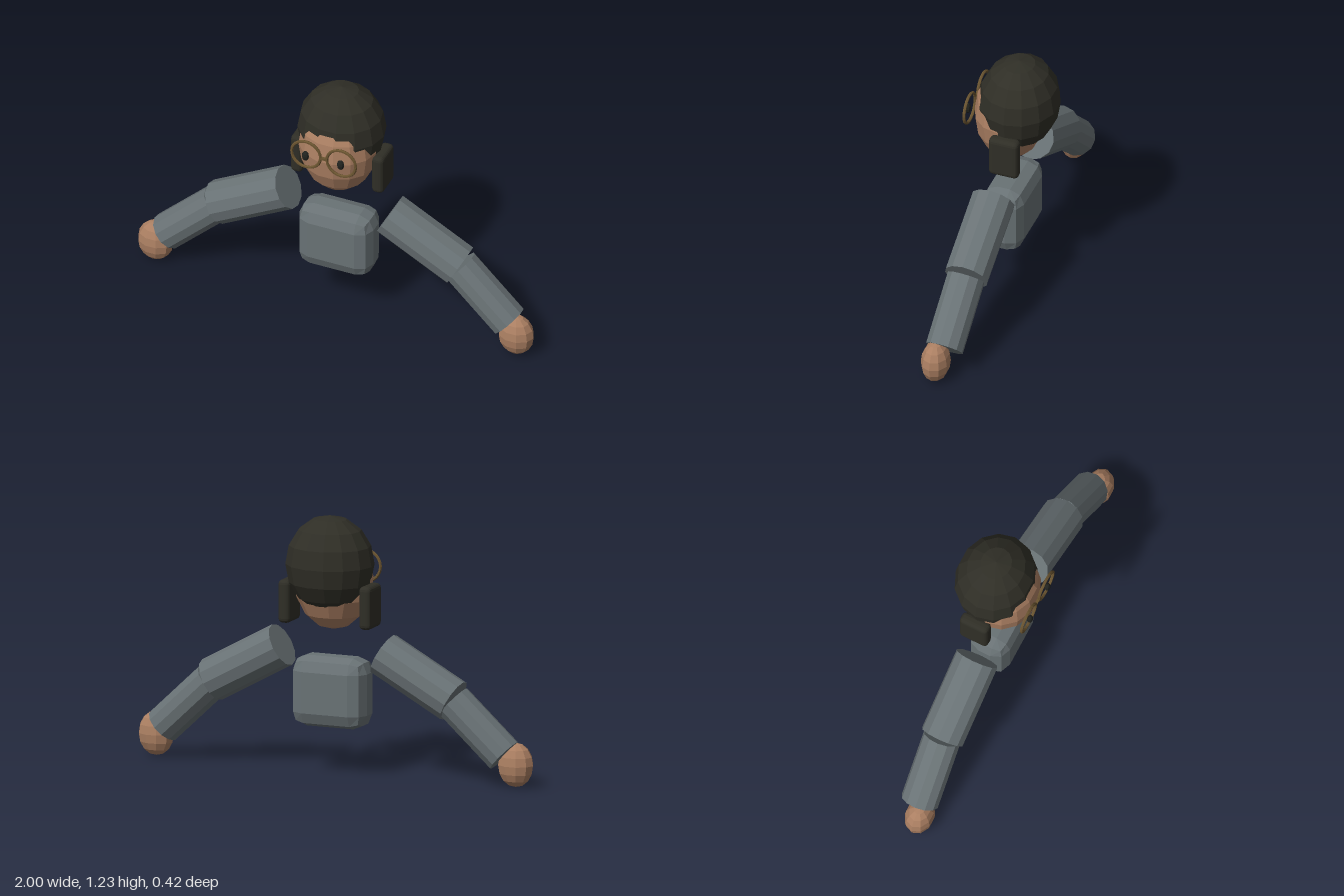
import * as THREE from 'three';
import { RoundedBoxGeometry } from 'three/addons/geometries/RoundedBoxGeometry.js';

const material = (name, color, flatShading = true) => {
  const m = new THREE.MeshStandardMaterial({ color, flatShading });
  m.name = name;
  return m;
};

export function createModel() {
  const model = new THREE.Group();
  model.name = 'figure';

  const skin = material('skin', 0xab7f62);
  const hairColor = material('dark hair', 0x2f2e26);
  const cloth = material('grey cloth', 0x697275);
  const brass = material('glasses brass', 0x6a5430);
  const eyeColor = material('eye black', 0x22231f);

  const add = (name, geometry, mat, x, y, z) => {
    const mesh = new THREE.Mesh(geometry, mat);
    mesh.name = name;
    mesh.position.set(x, y, z);
    model.add(mesh);
    return mesh;
  };
  const ellipsoid = (rx, ry, rz, w = 14, h = 8) =>
    new THREE.SphereGeometry(1, w, h).scale(rx, ry, rz);

  // Straight limb segment between two points
  const limb = (name, a, b, radius) => {
    const from = new THREE.Vector3(...a), to = new THREE.Vector3(...b);
    const dir = to.clone().sub(from);
    const mid = from.clone().add(to).multiplyScalar(0.5);
    const mesh = add(name, new THREE.CylinderGeometry(radius, radius, dir.length(), 12), cloth, mid.x, mid.y, mid.z);
    mesh.quaternion.setFromUnitVectors(new THREE.Vector3(0, 1, 0), dir.normalize());
  };

  // Head, with the hair as a larger overlapping ellipsoid
  add('head', ellipsoid(0.19, 0.245, 0.17), skin, 0, 0.925, 0.018);
  add('hair', ellipsoid(0.211, 0.23, 0.191), hairColor, 0, 0.997, -0.023);

  // Torso
  add('torso', new RoundedBoxGeometry(0.374, 0.336, 0.2, 1, 0.07), cloth, 0, 0.387, 0.01);

  // Bridge of the glasses
  add('glassesBridge', new THREE.BoxGeometry(0.04, 0.012, 0.012), brass, 0, 0.955, 0.192);

  // Mirrored parts
  for (const [side, s] of [['left', 1], ['right', -1]]) {
    add(side + 'SideHair', new RoundedBoxGeometry(0.06, 0.205, 0.147, 2, 0.022), hairColor, s * 0.205, 0.812, -0.026);
    add(side + 'GlassesRim', new THREE.TorusGeometry(0.073, 0.0075, 6, 24), brass, s * 0.089, 0.955, 0.192);
    add(side + 'Eye', ellipsoid(0.018, 0.026, 0.014, 8, 6), eyeColor, s * 0.089, 0.952, 0.2);
    limb(side + 'UpperArm', [s * 0.257, 0.585, 0.01], [s * 0.612, 0.39, 0.01], 0.105);
    limb(side + 'Forearm', [s * 0.612, 0.388, 0.01], [s * 0.865, 0.15, 0.022], 0.09);
    add(side + 'Hand', ellipsoid(0.088, 0.105, 0.068, 10, 8), skin, s * 0.912, 0.105, 0.047);
  }
  return model;
}
